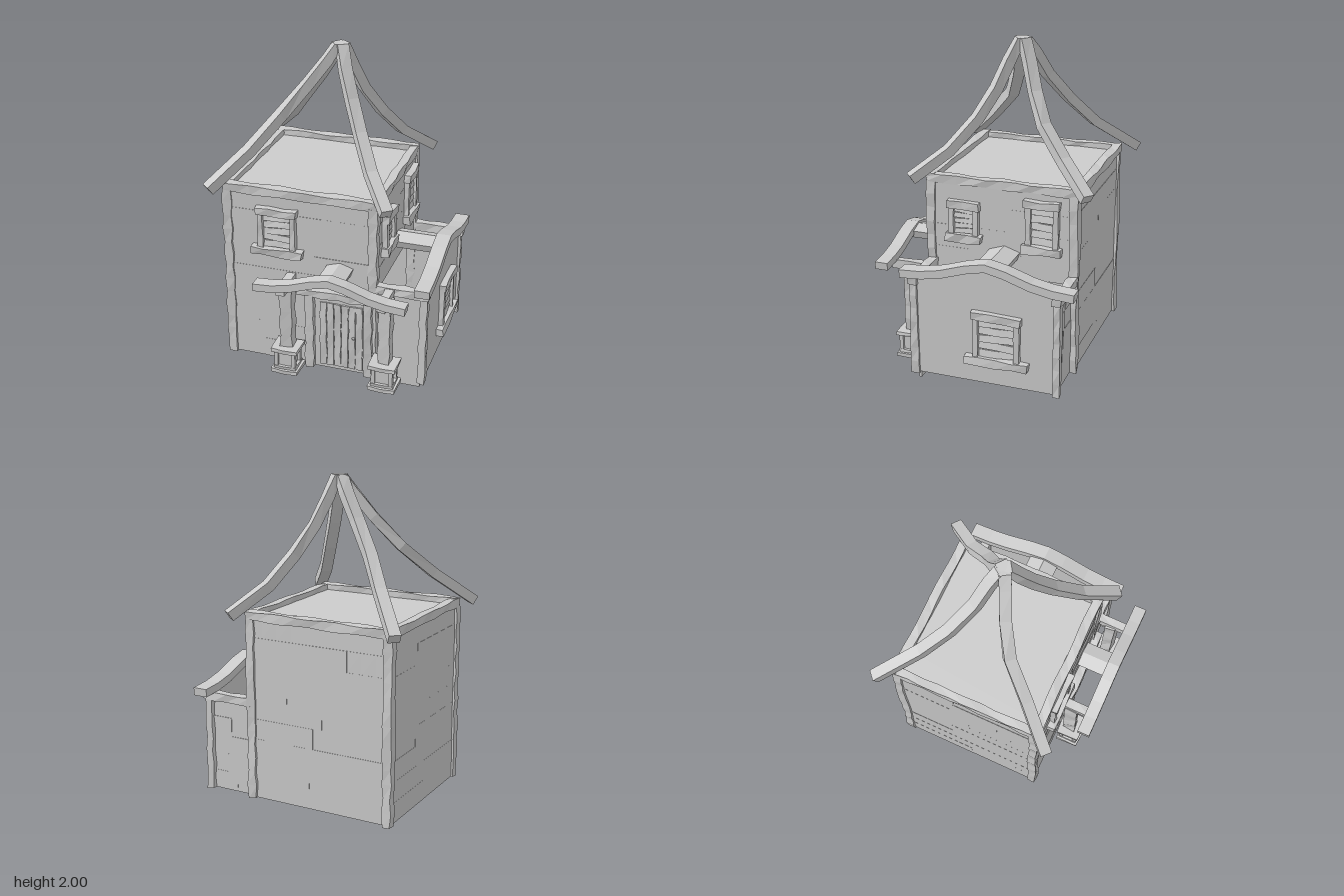
import * as THREE from 'three';

const mat = new THREE.MeshStandardMaterial({ color: 0xcccccc, flatShading: true, side: THREE.DoubleSide });
const V = (x, y, z) => new THREE.Vector3(x, y, z);

// Small seeded generator
let seed = 7;
const rand = () => (seed = (seed * 16807) % 2147483647) / 2147483647;

function add(parent, name, geometry) {
  const mesh = new THREE.Mesh(geometry, mat);
  mesh.name = name;
  parent.add(mesh);
  return mesh;
}

function group(parent, name, x = 0, y = 0, z = 0, turn = 0) {
  const g = new THREE.Group();
  g.name = name;
  g.position.set(x, y, z);
  g.rotation.y = turn;
  parent.add(g);
  return g;
}

// Box between two corners, with hewn, slightly wavy edges along its longest side
function beam(parent, name, x0, x1, y0, y1, z0, z1, wobble = 0.005) {
  const size = [x1 - x0, y1 - y0, z1 - z0];
  const longest = Math.max(...size);
  const seg = size.map(s => (s === longest ? Math.max(1, Math.round(s / 0.09)) : 1));
  const geo = new THREE.BoxGeometry(...size, ...seg);
  const p = geo.attributes.position;
  for (let i = 0; i < p.count; i++) {
    const v = V().fromBufferAttribute(p, i);
    const k = v.x * 91.7 + v.y * 57.3 + v.z * 73.1 + x0 * 31 + y0 * 17 + z0 * 13;
    p.setXYZ(i, v.x + Math.sin(k * 3.1) * wobble, v.y + Math.sin(k * 5.3) * wobble, v.z + Math.sin(k * 7.7) * wobble);
  }
  geo.computeVertexNormals();
  const mesh = add(parent, name, geo);
  mesh.position.set((x0 + x1) / 2, (y0 + y1) / 2, (z0 + z1) / 2);
  return mesh;
}

// Rectangular section swept along a bent path
function bentBeam(parent, name, points, w, h, maxY = 9) {
  const n = points.length - 1;
  const geo = new THREE.BoxGeometry(w, h, 1, 1, 1, n);
  const p = geo.attributes.position;
  for (let i = 0; i < p.count; i++) {
    const k = Math.round((p.getZ(i) + 0.5) * n);
    const t = points[Math.min(k + 1, n)].clone().sub(points[Math.max(k - 1, 0)]).normalize();
    const side = V(0, 1, 0).cross(t).normalize();
    const up = t.clone().cross(side);
    const v = points[k].clone().addScaledVector(side, p.getX(i)).addScaledVector(up, p.getY(i));
    p.setXYZ(i, v.x, Math.min(v.y, maxY), v.z);
  }
  geo.computeVertexNormals();
  return add(parent, name, geo);
}

// Wall of staggered boards; its outer face is near local z = 0
function wall(parent, x0, x1, y0, y1) {
  const g = group(parent, 'boardWall');
  const rows = Math.max(1, Math.round((y1 - y0) / 0.13));
  const h = (y1 - y0) / rows;
  for (let r = 0; r < rows; r++) {
    const split = x0 + (x1 - x0) * (0.25 + 0.5 * rand());
    for (const [a, b] of [[x0, split], [split, x1]]) {
      const front = -0.004 * rand();
      beam(g, 'board', a, b, y0 + r * h, y0 + (r + 1) * h, -0.02, front, 0);
    }
  }
}

// Shuttered window with heavy lintel and sill
function shutterWindow(parent, x0, x1, y0, y1, sill = 0.035) {
  const g = group(parent, 'window');
  const f = 0.042, w = x1 - x0, n = 5;
  beam(g, 'sill', x0 - sill, x1 + sill, y0, y0 + 0.05, -0.01, 0.045);
  beam(g, 'lintel', x0, x1, y1 - 0.045, y1, -0.01, 0.04);
  beam(g, 'frameSide', x0 + 0.008, x0 + f, y0 + 0.04, y1 - 0.04, -0.01, 0.03, 0.003);
  beam(g, 'frameSide', x1 - f, x1 - 0.008, y0 + 0.04, y1 - 0.04, -0.01, 0.03, 0.003);
  const h = (y1 - y0 - 0.095) / n;
  for (let i = 0; i < n; i++) {
    const y = y0 + 0.05 + i * h;
    const slat = beam(g, 'slat', x0 + f, x0 + w - f, y + 0.002, y + h - 0.002, 0, 0.012, 0.002);
    slat.rotation.set(-0.2, 0, (rand() - 0.5) * 0.12);
  }
}

export function createModel() {
  const house = new THREE.Group();
  house.name = 'house';

  // Main block: four facades, flat ceiling
  const front = group(house, 'frontFacade', 0, 0, 0.4);
  wall(front, -0.6, 0.35, 0.05, 1.19);
  const back = group(house, 'backFacade', 0, 0, -0.53, Math.PI);
  wall(back, -0.35, 0.6, 0.05, 1.19);
  const left = group(house, 'leftFacade', -0.6, 0, 0, -Math.PI / 2);
  wall(left, -0.53, 0.4, 0.05, 1.19);
  const right = group(house, 'rightFacade', 0.35, 0, 0, Math.PI / 2);
  wall(right, -0.4, 0.53, 0.62, 1.19);
  beam(house, 'ceiling', -0.6, 0.35, 1.165, 1.185, -0.53, 0.4, 0);

  // Corner posts and top rim
  for (const x of [-0.583, 0.332])
    for (const z of [-0.515, 0.383])
      beam(house, 'cornerPost', x - 0.028, x + 0.028, 0.045, 1.18, z - 0.027, z + 0.027);
  for (const z of [-0.52, 0.385]) beam(house, 'rimBeam', -0.605, 0.355, 1.17, 1.222, z - 0.028, z + 0.028, 0.004);
  for (const x of [-0.583, 0.332]) beam(house, 'rimBeam', x - 0.025, x + 0.025, 1.168, 1.218, -0.53, 0.4, 0.004);

  // Four bent roof poles meeting at the peak
  const poles = [
    [[-0.035, 2.01, -0.06], [-0.09, 1.9, -0.03], [-0.2, 1.75, 0.02], [-0.34, 1.57, 0.11], [-0.48, 1.39, 0.28], [-0.665, 1.2, 0.485]],
    [[-0.035, 2.01, -0.08], [-0.09, 1.9, -0.12], [-0.19, 1.75, -0.17], [-0.33, 1.57, -0.27], [-0.46, 1.4, -0.4], [-0.665, 1.2, -0.625]],
    [[-0.01, 2.01, -0.06], [0.03, 1.86, 0], [0.09, 1.7, 0.06], [0.17, 1.53, 0.15], [0.28, 1.35, 0.29], [0.43, 1.2, 0.475]],
    [[-0.01, 2.01, -0.08], [0.03, 1.86, -0.13], [0.09, 1.7, -0.185], [0.18, 1.53, -0.27], [0.27, 1.36, -0.42], [0.425, 1.2, -0.61]],
  ];
  for (const pts of poles) bentBeam(house, 'roofPole', pts.map(p => V(...p)), 0.07, 0.06, 2);

  // Door with planks, frame and knob
  const door = group(front, 'door');
  for (let i = 0; i < 6; i++) {
    const x = 0.005 + i * 0.046;
    beam(door, 'doorPlank', x, x + 0.042, 0.075, 0.515, -0.01, 0.016, 0.003);
  }
  beam(door, 'doorPanel', -0.03, 0.29, 0.05, 0.55, -0.012, 0.006, 0);
  beam(door, 'doorPost', -0.085, -0.03, 0.045, 0.565, -0.01, 0.04);
  beam(door, 'doorPost', 0.29, 0.34, 0.045, 0.565, -0.01, 0.04);
  beam(door, 'doorLintel', -0.13, 0.37, 0.56, 0.605, -0.01, 0.05);
  add(door, 'doorKnob', new THREE.SphereGeometry(0.01, 8, 6)).position.set(0.222, 0.3, 0.024);

  // Windows on the main block
  shutterWindow(front, -0.39, -0.135, 0.79, 1.1);
  shutterWindow(right, -0.27, -0.065, 0.815, 1.07, 0.01);
  shutterWindow(right, 0.215, 0.435, 0.8, 1.13, 0.012);

  // Porch: pedestals, posts, brackets, bent eave beam and ridge piece
  const porch = group(house, 'porch');
  for (const x of [-0.18, 0.44]) {
    const base = group(porch, 'pedestal', x, 0, 0.49);
    beam(base, 'plinth', -0.085, 0.085, 0.05, 0.075, -0.075, 0.075, 0.003);
    beam(base, 'plinthStep', -0.07, 0.07, 0.075, 0.095, -0.062, 0.062, 0.002);
    beam(base, 'pedestalCore', -0.05, 0.05, 0.09, 0.195, -0.045, 0.045, 0);
    for (const sx of [-0.055, 0.055])
      for (const sz of [-0.048, 0.048])
        beam(base, 'pedestalCorner', sx - 0.012, sx + 0.012, 0.09, 0.195, sz - 0.012, sz + 0.012, 0.001);
    beam(base, 'pedestalCap', -0.085, 0.085, 0.195, 0.22, -0.075, 0.075, 0.003);
    beam(porch, 'porchPost', x - 0.037, x + 0.037, 0.21, 0.64, 0.44, 0.515, 0.006);
    beam(porch, 'porchBracket', x - 0.028, x + 0.028, 0.625, 0.675, 0.38, 0.6, 0.004);
  }
  const eave = [[-0.465, -0.1], [-0.35, -0.092], [-0.24, -0.07], [-0.1, -0.022], [0, 0.0], [0.1, -0.022], [0.24, -0.07], [0.35, -0.092], [0.465, -0.1]];
  bentBeam(porch, 'porchEaveBeam', eave.map(([s, y]) => V(0.133 + s, y + 0.783, 0.61)), 0.08, 0.047);
  bentBeam(porch, 'porchRidge', [V(0.055, 0.745, 0.49), V(0.13, 0.77, 0.49), V(0.205, 0.745, 0.49)], 0.2, 0.05);

  // Side annex, open at the top, with a gabled outer wall
  const annex = group(house, 'annex');
  beam(annex, 'annexFrontWall', 0.33, 0.63, 0, 0.64, 0.35, 0.365, 0);
  const annexBack = group(annex, 'annexBackWall', 0, 0, -0.51, Math.PI);
  wall(annexBack, -0.64, -0.35, 0.05, 0.64);
  const gable = new THREE.Shape([[-0.38, 0.05], [0.52, 0.05], [0.52, 0.68], [0.32, 0.71], [0.085, 0.79], [-0.15, 0.71], [-0.38, 0.68]]
    .map(([x, y]) => new THREE.Vector2(x, y)));
  const side = group(annex, 'annexSideWall', 0.65, 0, 0, Math.PI / 2);
  add(side, 'gableWall', new THREE.ExtrudeGeometry(gable, { depth: 0.02, bevelEnabled: false })).position.z = -0.02;
  shutterWindow(side, -0.005, 0.3, 0.18, 0.515, 0.045);
  for (const z of [-0.515, 0.375]) {
    beam(annex, 'annexPost', 0.622, 0.668, 0.045, 0.64, z - 0.025, z + 0.025);
    beam(annex, 'annexPlate', 0.34, 0.68, 0.63, 0.68, z - 0.028, z + 0.028, 0.004);
  }
  bentBeam(annex, 'annexEaveBeam', eave.map(([s, y]) => V(0.645, y * 1.1 + 0.807, -0.085 + s * 1.15)), 0.092, 0.05);
  bentBeam(annex, 'annexRidge', [V(0.475, 0.76, -0.175), V(0.475, 0.79, -0.085), V(0.475, 0.76, 0.0)], 0.27, 0.05);

  return house;
}
